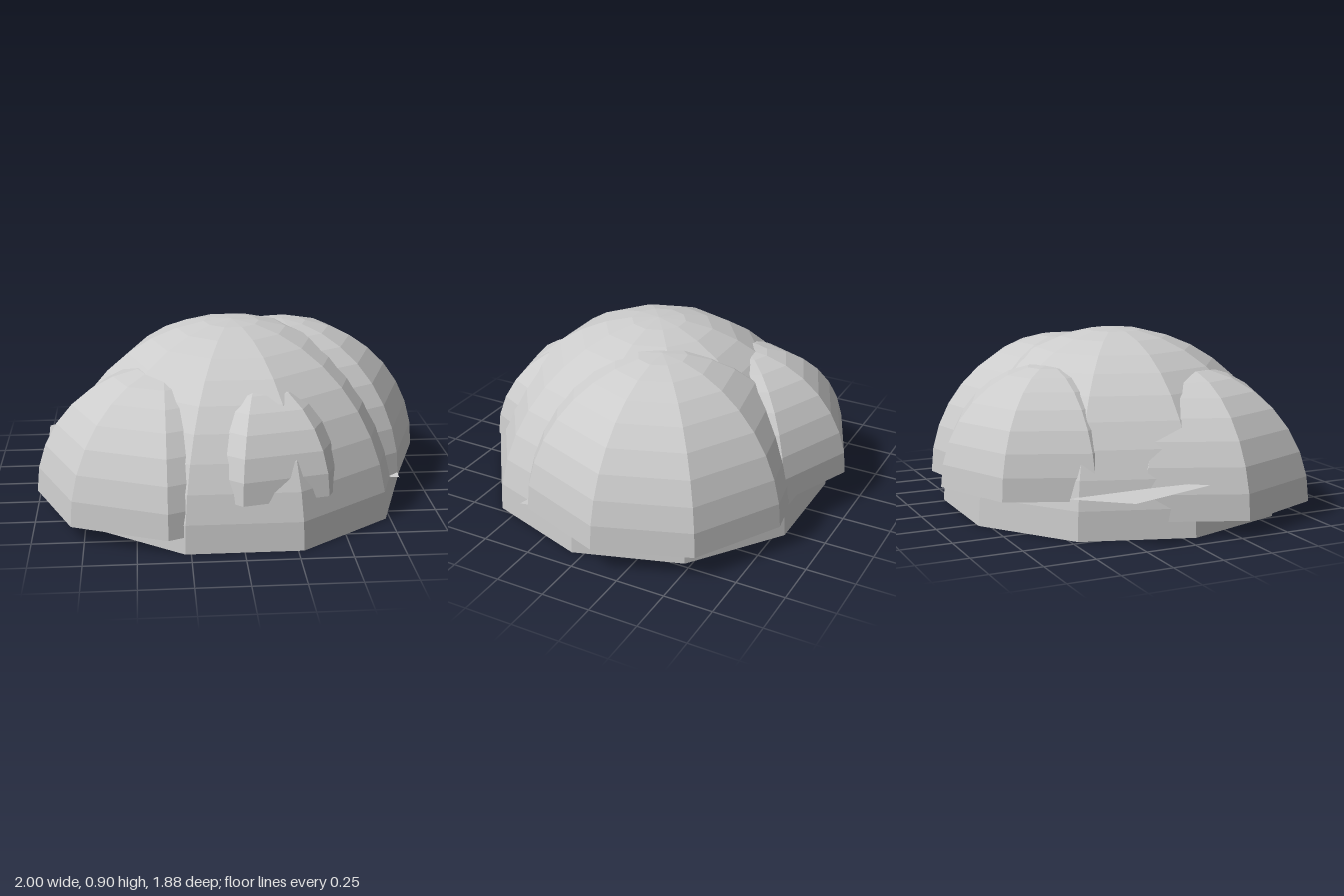
import * as THREE from 'three';

const material = new THREE.MeshStandardMaterial({ color: 0xcccccc, flatShading: true });
const thinMaterial = new THREE.MeshStandardMaterial({ color: 0xcccccc, flatShading: true, side: THREE.DoubleSide });

// Closed faceted half-sphere with one corner on +x; as many rows as sides
function dome(name, radius, sides, x, y, z) {
  const profile = [new THREE.Vector2(0, 0)];
  for (let i = 0; i <= sides; i++) {
    const a = (i / sides) * Math.PI / 2;
    profile.push(new THREE.Vector2(i === sides ? 0 : radius * Math.cos(a), radius * Math.sin(a)));
  }
  const mesh = new THREE.Mesh(new THREE.LatheGeometry(profile, sides, Math.PI / 2), material);
  mesh.name = name;
  mesh.position.set(x, y, z);
  return mesh;
}

// Thin pointed flake given by its corners in order
function flake(name, corners) {
  const geometry = new THREE.BufferGeometry().setFromPoints(corners.map(c => new THREE.Vector3(...c)));
  const index = [];
  for (let i = 1; i < corners.length - 1; i++) index.push(0, i + 1, i);
  geometry.setIndex(index);
  geometry.computeVertexNormals();
  const mesh = new THREE.Mesh(geometry, thinMaterial);
  mesh.name = name;
  return mesh;
}

export function createModel() {
  const group = new THREE.Group();
  group.name = 'bush';
  group.add(
    // Large central mound with smaller lobes sunk into it
    dome('mainMound', 0.9, 10, 0, 0, 0.06),
    dome('leftLobe', 0.72, 9, 0.28, 0.13, -0.11),
    dome('frontRightLobe', 0.645, 8, -0.355, 0.08, 0.29),
    dome('backLobe', 0.57, 8, -0.15, 0.18, -0.37),
    dome('frontLobe', 0.49, 7, 0.1, 0.23, 0.435),
    // Small flakes poking out between the lobes
    flake('rightFlake', [[-0.7, 0.2, -0.5], [-0.97, 0.22, -0.29], [-0.95, 0.26, 0.1], [-0.7, 0.24, -0.1]]),
    flake('leftFlake', [[0.7, 0.14, 0.37], [0.83, 0.15, 0.34], [0.83, 0.14, 0.4]])
  );
  return group;
}
